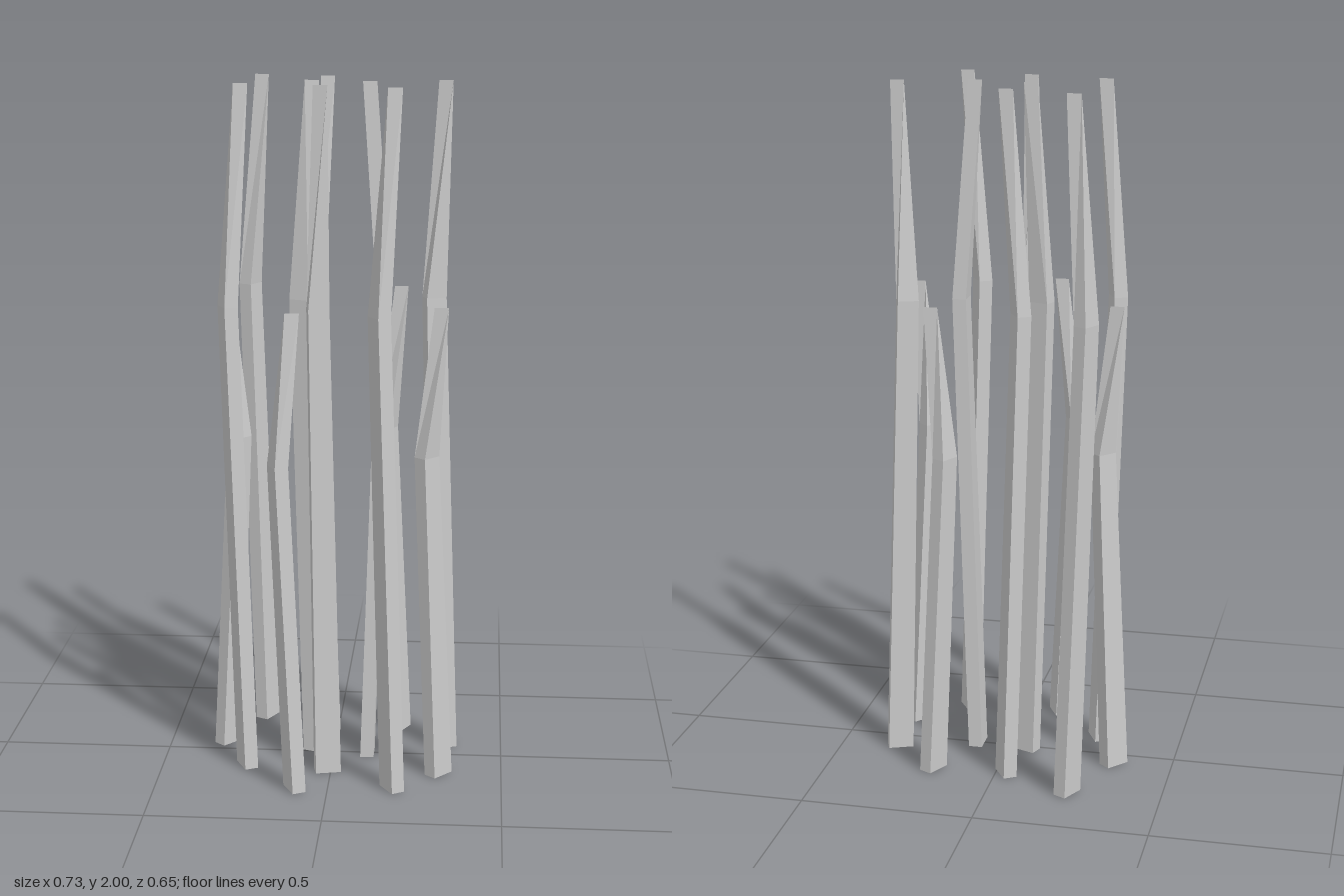
import * as THREE from 'three';

const THICK = 0.04, WIDTH = 0.074, MID_WIDTH = 0.06, MID = 0.69;
const TALL = 2, SHORT = 1.39;

// x, z of the foot, turn of the foot in degrees, height, sideways bend at the knee
const BLADES = [
  [-0.23, -0.283, 27, TALL, -0.043],
  [-0.03, -0.194, -32, TALL, -0.043],
  [0.187, -0.206, 27, SHORT, -0.043],
  [-0.328, -0.06, 41, SHORT, 0.043],
  [-0.052, -0.013, -69, TALL, -0.043],
  [0.1, 0, 0, TALL, 0.043],
  [0.325, -0.071, 68, TALL, -0.041],
  [-0.25, 0.117, -26, TALL, -0.043],
  [-0.01, 0.144, 77, TALL, -0.026],
  [0.316, 0.142, 41, SHORT, -0.043],
  [-0.095, 0.283, -27, SHORT, -0.043],
  [0.185, 0.262, -32, TALL, -0.043],
];

// A bar with a bent knee whose top closes to a sharp edge along x
function bladeGeometry(turn, height, bend) {
  const geo = new THREE.BoxGeometry(THICK, 2, WIDTH, 1, 2, 1);
  const pos = geo.attributes.position;
  const c = Math.cos(turn), s = Math.sin(turn);
  const lean = -0.022 * Math.sign(bend);
  for (let i = 0; i < pos.count; i++) {
    const level = Math.round(pos.getY(i)) + 1; // 0 foot, 1 knee, 2 tip
    const x = pos.getX(i);
    if (level === 2) {
      pos.setXYZ(i, x + lean * (c - 1), height, lean * s);
    } else {
      const z = pos.getZ(i) * (level === 1 ? MID_WIDTH / WIDTH : 1);
      pos.setXYZ(i, x * c - z * s + level * bend, level * MID * height, x * s + z * c);
    }
  }
  const flat = geo.toNonIndexed();
  flat.computeVertexNormals();
  return flat;
}

export function createModel() {
  const group = new THREE.Group();
  group.name = 'grassTuft';
  const material = new THREE.MeshStandardMaterial({ color: 0xcccccc, flatShading: true });
  BLADES.forEach(([x, z, degrees, height, bend], i) => {
    const geo = bladeGeometry(THREE.MathUtils.degToRad(degrees), height, bend);
    const blade = new THREE.Mesh(geo, material);
    blade.name = `grassBlade${i + 1}`;
    blade.position.set(x, 0, z);
    group.add(blade);
  });
  return group;
}
